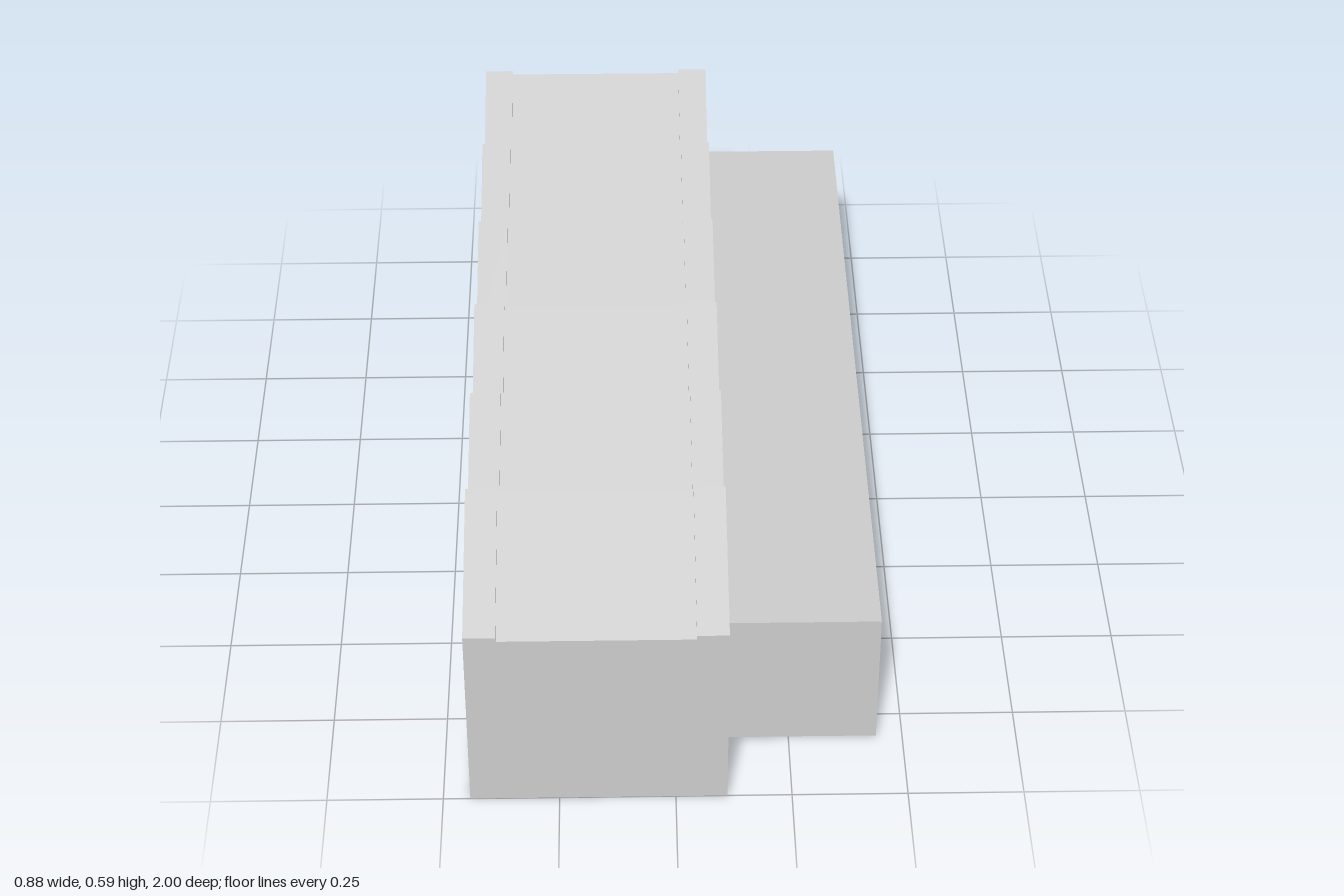
import * as THREE from 'three';

const BAYS = 6;
const PITCH = 2 / BAYS;
const material = new THREE.MeshStandardMaterial({ color: 0xcccccc, flatShading: true });

// Sawtooth side profile (z, y) extruded across x from x0 to x1
function sawtoothStrip(name, x0, x1, low, high) {
  const shape = new THREE.Shape();
  shape.moveTo(-1, 0);
  shape.lineTo(1, 0);
  for (let i = 0; i < BAYS; i++) {
    const z = 1 - i * PITCH;
    shape.lineTo(z, low);
    shape.lineTo(z - PITCH, high);
  }
  shape.closePath();
  const geometry = new THREE.ExtrudeGeometry(shape, { depth: x1 - x0, bevelEnabled: false });
  // shape x becomes z, extrusion runs towards -x
  geometry.rotateY(-Math.PI / 2);
  geometry.translate(x1, 0, 0);
  const mesh = new THREE.Mesh(geometry, material);
  mesh.name = name;
  return mesh;
}

export function createModel() {
  const model = new THREE.Group();
  model.name = 'sawtoothFactory';

  // Main hall: recessed roof panels between two raised roof edges
  const hall = new THREE.Group();
  hall.name = 'mainHall';
  hall.add(
    sawtoothStrip('rightRoofEdge', -0.442, -0.374, 0.46, 0.587),
    sawtoothStrip('hallCentre', -0.374, 0.043, 0.45, 0.577),
    sawtoothStrip('leftRoofEdge', 0.043, 0.111, 0.46, 0.587)
  );
  model.add(hall);

  // Low flat-roofed annex along the left wall, flush at the back
  const annex = new THREE.Mesh(new THREE.BoxGeometry(0.331, 0.333, 1.825), material);
  annex.name = 'sideAnnex';
  annex.position.set(0.2765, 0.1725, -0.0875);
  model.add(annex);

  return model;
}
